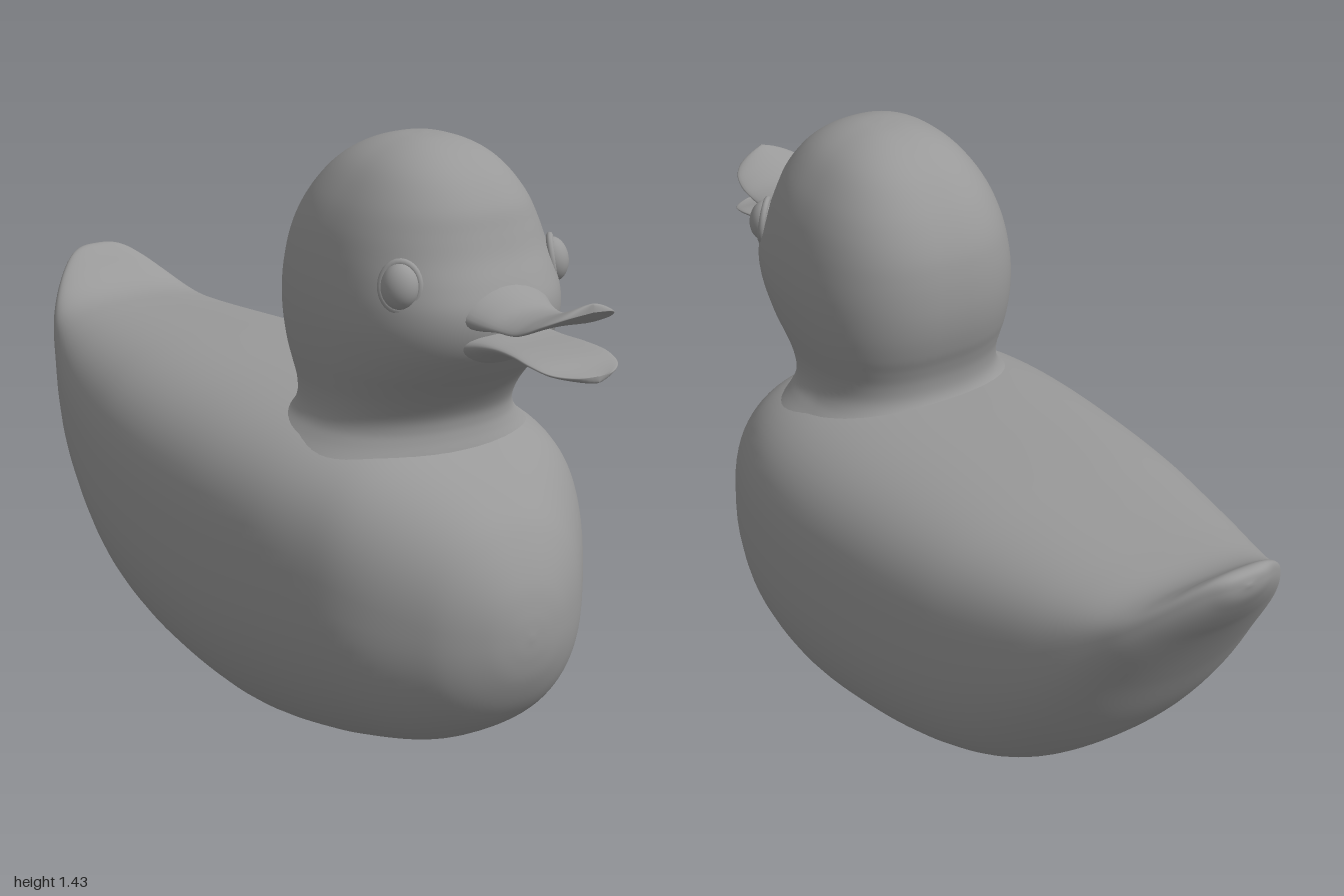
import * as THREE from 'three';
import { mergeVertices } from 'three/addons/utils/BufferGeometryUtils.js';

const material = new THREE.MeshStandardMaterial({ color: 0x999999 });

// Skin a closed smooth surface over stations; place(station, cos, sin) gives [x, y, z]
function loft(stations, place, rings, segs) {
  const size = stations[0].length;
  const spline = new THREE.CubicInterpolant(
    stations.map((_, i) => i), stations.flat(), size, new Float32Array(size));
  const positions = [], index = [];
  for (let i = 0; i <= rings; i++) {
    const s = spline.evaluate((i / rings) * (stations.length - 1));
    for (let j = 0; j < segs; j++) {
      const a = (j / segs) * Math.PI * 2;
      positions.push(...place(s, Math.cos(a), Math.sin(a)));
      if (i === rings) continue;
      const p = i * segs + j, q = i * segs + (j + 1) % segs;
      index.push(p, q, p + segs, q, q + segs, p + segs);
    }
  }
  const geometry = new THREE.BufferGeometry();
  geometry.setAttribute('position', new THREE.Float32BufferAttribute(positions, 3));
  geometry.setIndex(index);
  const welded = mergeVertices(geometry, 1e-5);
  welded.computeVertexNormals();
  return welded;
}

// Superellipse version of a sine or cosine
const power = (v, n) => Math.sign(v) * Math.pow(Math.abs(v), 2 / n);

function addMesh(group, name, geometry) {
  const mesh = new THREE.Mesh(geometry, material);
  mesh.name = name;
  group.add(mesh);
  return mesh;
}

// Body and tail: z, bottom, top, half width, height fraction of the widest line
function bodyGeometry() {
  const stations = [
    [-1.0, 0.885, 0.885, 0, 0.5], [-0.992, 0.85, 0.908, 0.05, 0.52], [-0.97, 0.81, 0.912, 0.09, 0.55],
    [-0.94, 0.765, 0.892, 0.13, 0.57], [-0.9, 0.71, 0.859, 0.172, 0.58], [-0.85, 0.635, 0.828, 0.212, 0.58],
    [-0.79, 0.54, 0.812, 0.245, 0.58], [-0.7, 0.395, 0.809, 0.29, 0.56], [-0.6, 0.275, 0.81, 0.33, 0.55],
    [-0.45, 0.15, 0.813, 0.375, 0.55], [-0.3, 0.08, 0.815, 0.41, 0.55], [-0.1, 0.03, 0.814, 0.437, 0.55],
    [0.15, 0.003, 0.81, 0.45, 0.55], [0.35, 0.02, 0.8, 0.43, 0.55], [0.5, 0.05, 0.775, 0.378, 0.54],
    [0.6, 0.083, 0.723, 0.322, 0.52], [0.7, 0.143, 0.64, 0.235, 0.5], [0.75, 0.195, 0.575, 0.178, 0.5],
    [0.787, 0.265, 0.5, 0.11, 0.5], [0.803, 0.325, 0.435, 0.053, 0.5], [0.808, 0.38, 0.38, 0, 0.5],
  ];
  return loft(stations, ([z, bottom, top, width, f], c, s) => {
    const middle = bottom + (top - bottom) * f;
    // Squarer shoulders along the middle, rounding off toward the breast
    const n = s > 0 ? 2.95 - 0.6 * THREE.MathUtils.smoothstep(z, 0.5, 0.78) : 2.2;
    return [width * power(c, n), middle + (s > 0 ? top - middle : middle - bottom) * power(s, n), z];
  }, 120, 72);
}

// Neck and head: y, back z, front z, half width, z of the widest line
function headGeometry() {
  const stations = [
    [0.72, 0.02, 0.57, 0.33, 0.33], [0.75, 0.06, 0.563, 0.295, 0.33], [0.775, 0.092, 0.557, 0.268, 0.34],
    [0.8, 0.12, 0.555, 0.248, 0.35], [0.83, 0.134, 0.562, 0.239, 0.36], [0.87, 0.133, 0.588, 0.241, 0.365],
    [0.91, 0.122, 0.622, 0.251, 0.37], [0.95, 0.107, 0.662, 0.261, 0.38],
    [1.0, 0.094, 0.703, 0.269, 0.39], [1.05, 0.087, 0.722, 0.273, 0.4], [1.1, 0.086, 0.722, 0.271, 0.4],
    [1.15, 0.09, 0.7, 0.264, 0.4], [1.2, 0.1, 0.672, 0.253, 0.4], [1.25, 0.12, 0.652, 0.237, 0.4],
    [1.3, 0.15, 0.632, 0.213, 0.4], [1.35, 0.193, 0.594, 0.178, 0.4], [1.385, 0.238, 0.552, 0.142, 0.4],
    [1.41, 0.287, 0.506, 0.099, 0.4], [1.425, 0.341, 0.455, 0.051, 0.4], [1.43, 0.4, 0.4, 0, 0.4],
  ];
  return loft(stations, ([y, back, front, width, middle], c, s) => {
    const n = s > 0 ? 2.5 : 2.3;
    const depth = s > 0 ? middle - back : front - middle;
    return [width * power(c, n), y, middle - depth * power(s, n)];
  }, 100, 64);
}

// Half of the bill: z, bottom, top, half width; droop lowers its side edges
function billGeometry(stations, droop) {
  return loft(stations, ([z, bottom, top, width], c, s) => [
    width * c, (bottom + top) / 2 + (top - bottom) / 2 * s - droop * c * c, z,
  ], 48, 32);
}

export function createModel() {
  const duck = new THREE.Group();
  duck.name = 'duck';

  addMesh(duck, 'body', bodyGeometry());
  addMesh(duck, 'head', headGeometry());

  const bill = new THREE.Group();
  bill.name = 'bill';
  duck.add(bill);
  addMesh(bill, 'upperBill', billGeometry([
    [0.58, 1.06, 1.19, 0], [0.62, 1.05, 1.185, 0.13], [0.68, 1.053, 1.16, 0.125], [0.73, 1.062, 1.13, 0.106],
    [0.78, 1.078, 1.112, 0.097], [0.84, 1.085, 1.115, 0.101], [0.89, 1.105, 1.13, 0.106],
    [0.93, 1.128, 1.147, 0.095], [0.96, 1.147, 1.162, 0.06], [0.972, 1.16, 1.165, 0],
  ], 0.016));
  addMesh(bill, 'lowerBill', billGeometry([
    [0.56, 0.97, 1.05, 0], [0.61, 0.962, 1.055, 0.12], [0.68, 0.974, 1.056, 0.118], [0.73, 0.995, 1.052, 0.104],
    [0.78, 1.01, 1.046, 0.097], [0.84, 1.014, 1.042, 0.101], [0.9, 1.01, 1.034, 0.106],
    [0.95, 1.003, 1.021, 0.092], [0.985, 1.0, 1.014, 0.05], [0.998, 1.004, 1.01, 0],
  ], -0.01));

  // Eyes: bulging balls set into the cheeks, with a slim lid around each
  for (const side of [1, -1]) {
    const eye = new THREE.Group();
    eye.name = side > 0 ? 'leftEye' : 'rightEye';
    eye.position.set(side * 0.21, 1.155, 0.598);
    eye.rotation.set(-0.15, side * 0.85, 0, 'YXZ');
    addMesh(eye, 'eyeball', new THREE.SphereGeometry(1, 24, 16)).scale.set(0.042, 0.05, 0.036);
    const lid = addMesh(eye, 'eyelid', new THREE.TorusGeometry(0.042, 0.008, 10, 28));
    lid.scale.set(1, 1.2, 1);
    duck.add(eye);
  }
  return duck;
}
